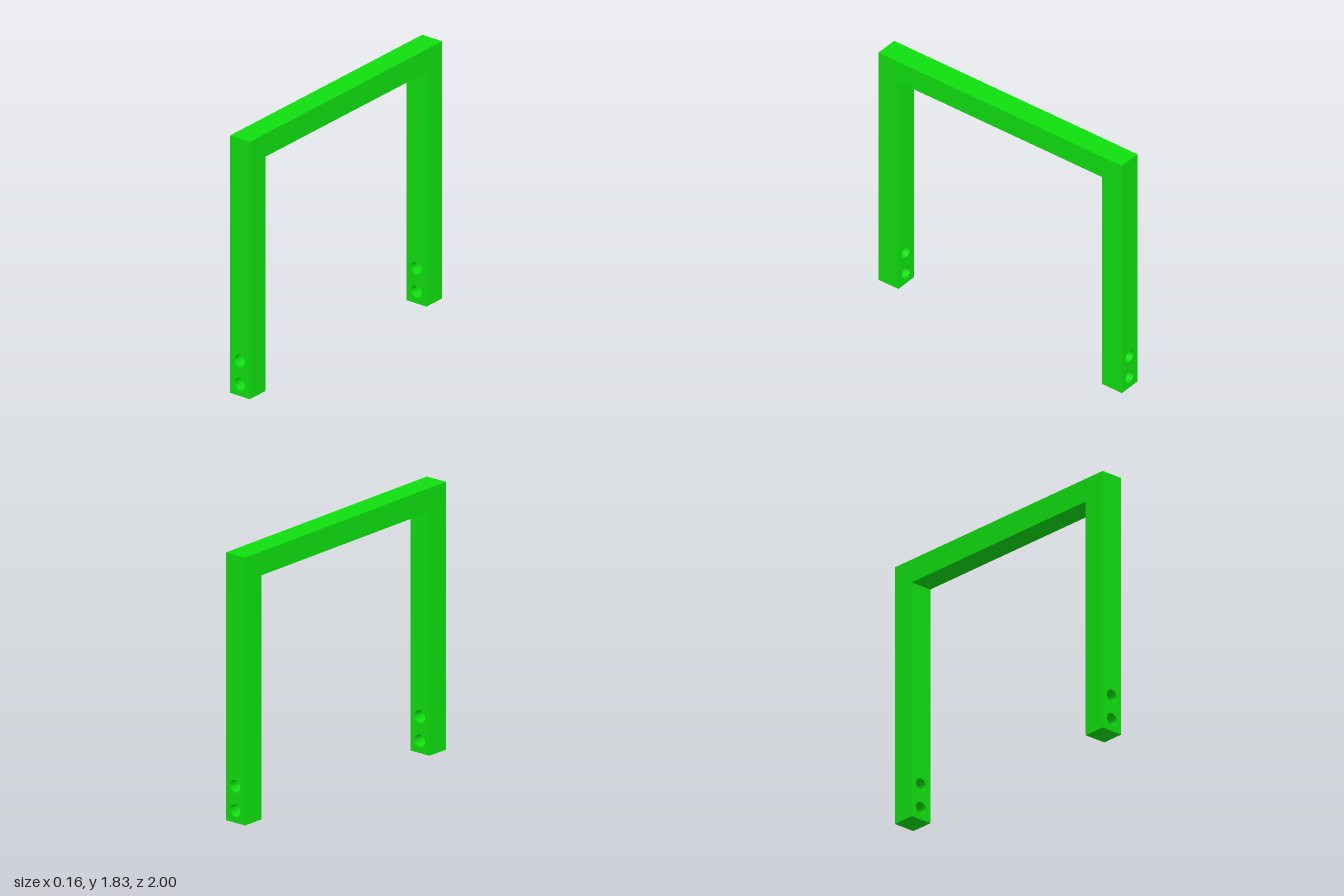
import * as THREE from 'three';
import { toCreasedNormals } from 'three/addons/utils/BufferGeometryUtils.js';

const WIDTH = 0.163;      // bar width across x
const DEPTH = 0.163;      // leg depth along z
const HEIGHT = 1.833;
const BEAM_BOTTOM = 1.67;
const HOLE_RADIUS = 0.043;
const HOLE_HEIGHTS = [0.083, 0.25];

// Upright bar with two bolt holes running through it along z
function legGeometry() {
  const w = WIDTH / 2;
  const shape = new THREE.Shape();
  shape.moveTo(-w, 0);
  shape.lineTo(w, 0);
  shape.lineTo(w, BEAM_BOTTOM);
  shape.lineTo(-w, BEAM_BOTTOM);
  shape.closePath();
  for (const y of HOLE_HEIGHTS) {
    shape.holes.push(new THREE.Path().absarc(0, y, HOLE_RADIUS, 0, Math.PI * 2, true));
  }
  const geometry = new THREE.ExtrudeGeometry(shape, { depth: DEPTH, bevelEnabled: false, curveSegments: 32 });
  return toCreasedNormals(geometry, Math.PI / 6);
}

export function createModel() {
  const group = new THREE.Group();
  group.name = 'handle';
  const material = new THREE.MeshStandardMaterial({ color: 0x0fe00f });

  const add = (name, geometry, y, z) => {
    const mesh = new THREE.Mesh(geometry, material);
    mesh.name = name;
    mesh.position.set(0, y, z);
    group.add(mesh);
  };

  // Legs at both ends
  const leg = legGeometry();
  add('frontLeg', leg, 0, 1 - DEPTH);
  add('backLeg', leg, 0, -1);

  // Crossbar resting on the legs
  const beamHeight = HEIGHT - BEAM_BOTTOM;
  add('crossbar', new THREE.BoxGeometry(WIDTH, beamHeight, 2), BEAM_BOTTOM + beamHeight / 2, 0);

  return group;
}
